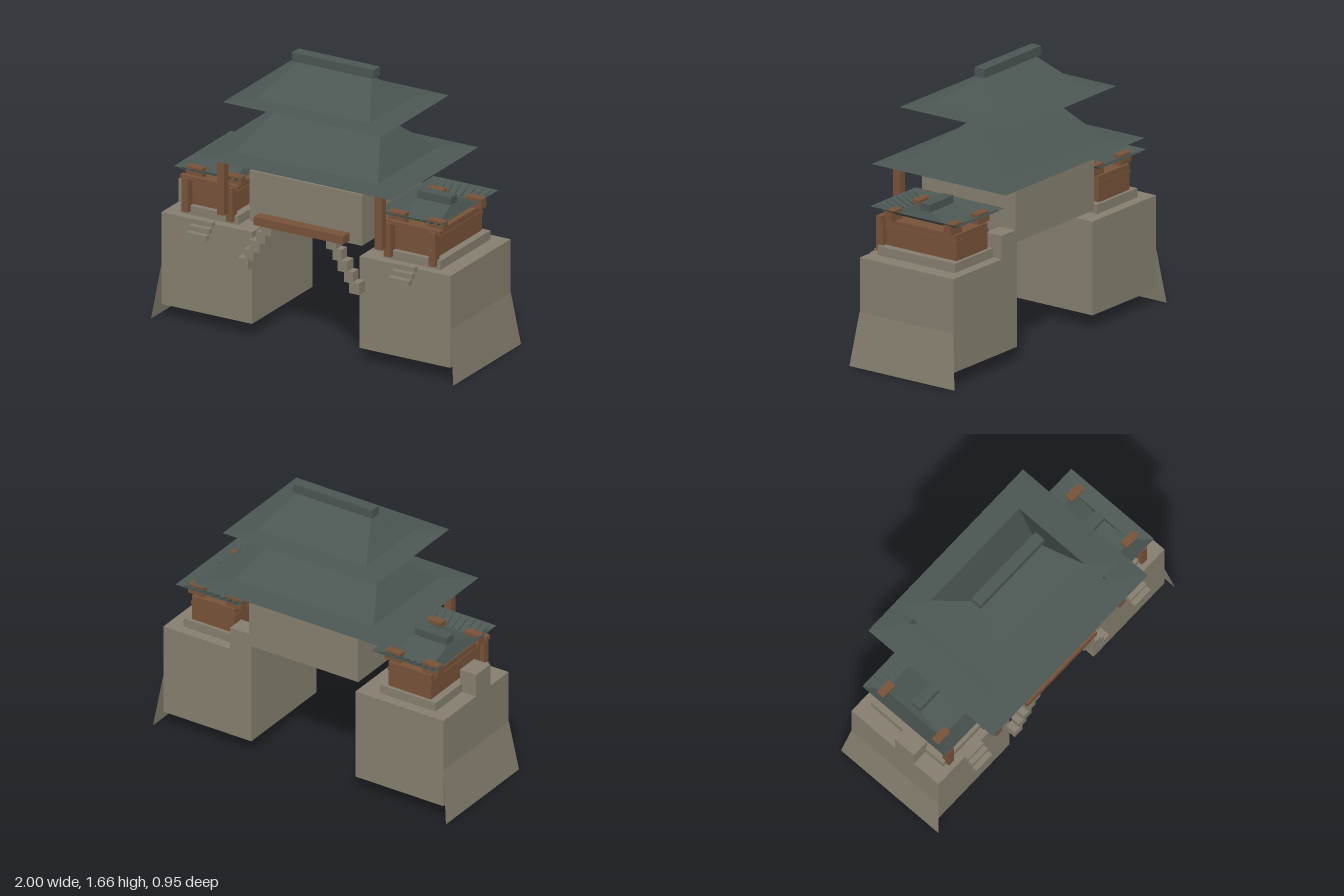
import * as THREE from 'three';

function material(name, color, doubleSided) {
  const m = new THREE.MeshStandardMaterial({ color });
  m.name = name;
  m.flatShading = true;
  if (doubleSided) m.side = THREE.DoubleSide;
  return m;
}

export function createModel() {
  const stone = material('stone', 0x878070, true);
  const tile = material('roofTile', 0x4c5753, true);
  const wood = material('wood', 0x78533a, false);
  const model = new THREE.Group();
  model.name = 'gatehouse';

  // Box given by its minimum and maximum on each axis
  function box(parent, name, mat, x0, x1, y0, y1, z0, z1) {
    const mesh = new THREE.Mesh(new THREE.BoxGeometry(x1 - x0, y1 - y0, z1 - z0), mat);
    mesh.position.set((x0 + x1) / 2, (y0 + y1) / 2, (z0 + z1) / 2);
    mesh.name = name;
    parent.add(mesh);
    return mesh;
  }

  // Hollow box without its bottom face
  function openBox(parent, name, mat, ...size) {
    const g = box(parent, name, mat, ...size).geometry;
    const index = Array.from(g.index.array);
    index.splice(18, 6);
    g.setIndex(index);
    g.clearGroups();
  }

  // Roof shell through rectangular rings [halfX, halfZ, y], from eave to ridge
  function roofShell(parent, name, rings) {
    const pos = [], index = [];
    for (const [hx, hz, y] of rings) {
      pos.push(-hx, y, hz, hx, y, hz, hx, y, -hz, -hx, y, -hz);
    }
    for (let r = 0; r < rings.length - 1; r++) {
      for (let k = 0; k < 4; k++) {
        const a = r * 4 + k, b = r * 4 + (k + 1) % 4;
        index.push(a, b, b + 4, a, b + 4, a + 4);
      }
    }
    let g = new THREE.BufferGeometry();
    g.setAttribute('position', new THREE.Float32BufferAttribute(pos, 3));
    g.setIndex(index);
    g = g.toNonIndexed();
    g.computeVertexNormals();
    const mesh = new THREE.Mesh(g, tile);
    mesh.name = name;
    parent.add(mesh);
  }

  // Flared skirt on the outer side of a tower
  function skirt(parent, s) {
    const g = new THREE.PlaneGeometry(1, 1, 1, 1);
    const rows = [[0.957, 0.32, 0.333], [1.0, 0, 0.373]];
    const p = g.attributes.position;
    for (let i = 0; i < p.count; i++) {
      const [x, y, z] = rows[Math.floor(i / 2)];
      p.setXYZ(i, s * x, y, (i % 2 ? -1 : 1) * s * z);
    }
    g.computeVertexNormals();
    const mesh = new THREE.Mesh(g, stone);
    mesh.name = 'towerSkirt';
    parent.add(mesh);
  }

  // Small timber house, centred on x = 0
  function house() {
    const h = new THREE.Group();
    h.name = 'towerHouse';
    box(h, 'plinth', stone, -0.19, 0.19, 0.645, 0.70, -0.27, 0.28);
    box(h, 'walls', wood, -0.145, 0.145, 0.70, 0.855, -0.25, 0.25);
    box(h, 'wallRail', wood, -0.15, 0.15, 0.80, 0.82, -0.253, 0.253);
    for (const s of [-1, 1]) {
      box(h, 'porchPost', wood, s * 0.147 - 0.021, s * 0.147 + 0.021, 0.665, 0.87, 0.255, 0.305);
      for (const t of [-1, 1]) {
        box(h, 'bracket', wood, s * 0.13 - 0.053, s * 0.13 + 0.053, 0.855, 0.916,
          t * 0.21 - 0.025, t * 0.21 + 0.025);
      }
      // Slanted rafters lying on the upturned eaves
      for (let i = 0; i < 8; i++) {
        const x = (i - 3.5) * 0.047;
        const r = box(h, 'rafter', tile, x - 0.004, x + 0.004, 0.907, 0.917, s * 0.262 - 0.045, s * 0.262 + 0.045);
        r.rotation.set(-s * 0.4, s * x * 1.6, 0, 'YXZ');
      }
    }
    box(h, 'porchBeam', wood, -0.19, 0.19, 0.855, 0.88, 0.255, 0.285);
    roofShell(h, 'houseRoof', [
      [0.215, 0.315, 0.935], [0.13, 0.215, 0.888], [0.11, 0.03, 0.94]
    ]);
    box(h, 'houseRidge', tile, -0.11, 0.11, 0.93, 0.985, -0.034, 0.034);
    return h;
  }

  // Towers with skirts, houses and front steps
  for (const s of [-1, 1]) {
    const tower = new THREE.Group();
    tower.name = s > 0 ? 'leftTower' : 'rightTower';
    model.add(tower);
    const c = s * 0.656;
    openBox(tower, 'towerBody', stone, c - 0.3, c + 0.3, 0.085, 0.645, -0.332, 0.332);
    skirt(tower, s);
    for (let i = 0; i < 3; i++) {
      box(tower, 'frontStep', stone, s * 0.67 - 0.066, s * 0.67 + 0.066,
        0.63 - i * 0.03, 0.66 - i * 0.03, 0.325 + i * 0.033, 0.36 + i * 0.033);
    }
    const h = house();
    h.position.x = s * 0.67;
    tower.add(h);

    // Stepped half of the front arch, and the tall gate post
    for (let i = 0; i < 5; i++) {
      const x = s * (0.367 - i * 0.038), y = 0.478 + i * 0.06;
      const w = i % 2 ? 0.03 : 0.033;
      box(model, 'archBlock', stone, x - w, x + w, y - 0.035, y + 0.035, 0.38 - w, 0.38 + w);
    }
    box(model, 'gatePost', wood, s * 0.522 - 0.024, s * 0.522 + 0.024, 0.74, 1.085, 0.356, 0.404);
  }

  // Surviving parapet blocks
  box(model, 'parapetBlock', stone, -0.956, -0.845, 0.645, 0.785, 0, 0.145);
  box(model, 'parapetBlock', stone, 0.356, 0.5, 0.645, 0.785, -0.332, -0.22);

  // Gate hall and front beam
  openBox(model, 'gateHall', stone, -0.373, 0.371, 0.71, 1.02, -0.331, 0.331);
  box(model, 'frontBeam', wood, -0.295, 0.295, 0.73, 0.78, 0.345, 0.415);

  // Two stacked hip roofs with ridges
  roofShell(model, 'lowerRoof', [[0.655, 0.477, 1.095], [0.475, 0.33, 1.11], [0.3, 0.002, 1.378]]);
  box(model, 'lowerRidge', tile, -0.34, 0.34, 1.378, 1.42, -0.035, 0.035);
  roofShell(model, 'upperRoof', [[0.522, 0.376, 1.42], [0.374, 0.252, 1.432], [0.24, 0.002, 1.607]]);
  box(model, 'upperRidge', tile, -0.27, 0.27, 1.606, 1.66, -0.035, 0.035);

  return model;
}
